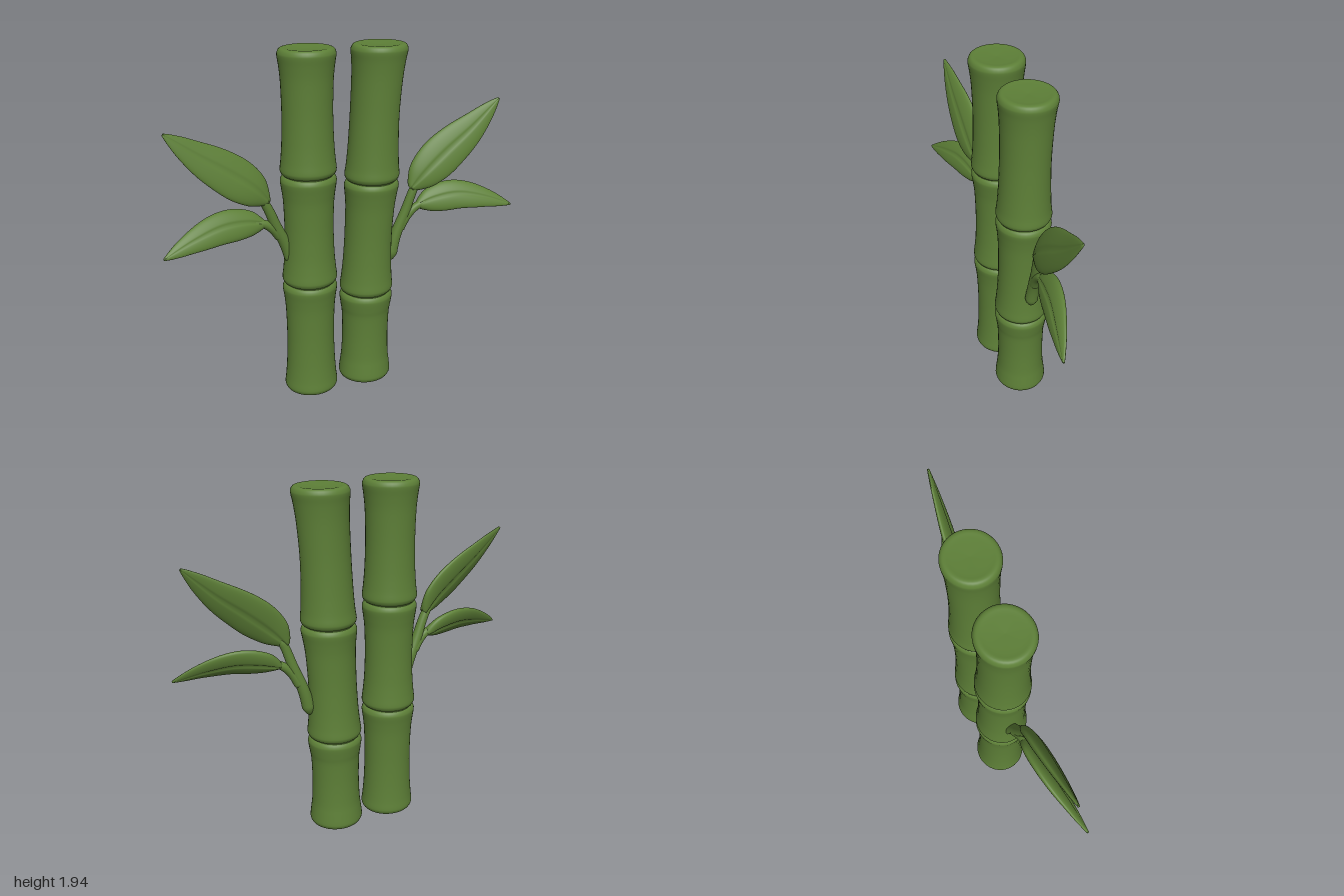
import * as THREE from 'three';

const green = new THREE.MeshStandardMaterial({ color: 0x5d7f37 });
green.name = 'bamboo green';

const V = (x, y, z = 0) => new THREE.Vector3(x, y, z);
const spline = (pairs, n) => new THREE.SplineCurve(pairs.map(([x, y]) => new THREE.Vector2(x, y))).getPoints(n);

// Linear lookup in a list of points: reads the 'to' axis at a value on the 'from' axis
function lookup(points, from, to, value) {
  let i = 1;
  while (i < points.length - 1 && points[i][from] < value) i++;
  const a = points[i - 1], b = points[i];
  return THREE.MathUtils.mapLinear(value, a[from], b[from], a[to], b[to]);
}

function addMesh(parent, name, geometry) {
  const mesh = new THREE.Mesh(geometry, green);
  mesh.name = name;
  parent.add(mesh);
}

// One waisted cane section with rounded rims; leanAt(y) gives the centre x
function caneSection(y0, y1, leanAt) {
  const h = y1 - y0;
  const profile = spline([
    [0, y0 + 0.004], [0.09, y0 + 0.002], [0.122, y0], [0.138, y0 + 0.006], [0.147, y0 + 0.022],
    [0.148, y0 + 0.04], [0.142, y0 + 0.09], [0.135, y0 + h * 0.28], [0.131, y0 + h * 0.5],
    [0.134, y0 + h * 0.74], [0.141, y1 - 0.09], [0.148, y1 - 0.04], [0.147, y1 - 0.022],
    [0.138, y1 - 0.006], [0.122, y1], [0.09, y1 - 0.003], [0, y1 - 0.007],
  ], 64);
  profile.forEach((p) => { p.x = Math.max(p.x, 0); });
  const geometry = new THREE.LatheGeometry(profile, 40);
  geometry.scale(1.015, 1, 0.975);
  const pos = geometry.attributes.position;
  for (let i = 0; i < pos.count; i++) pos.setX(i, pos.getX(i) + leanAt(pos.getY(i)));
  return geometry;
}

function cane(name, joints, leanAt) {
  const group = new THREE.Group();
  group.name = name;
  group.position.z = -0.003;
  for (let i = 0; i < joints.length - 1; i++) {
    addMesh(group, 'caneSection' + (i + 1), caneSection(joints[i], joints[i + 1], leanAt));
    // Recessed core seen in the groove between sections
    if (i > 0) {
      const core = new THREE.CylinderGeometry(0.13, 0.13, 0.04, 40);
      core.translate(leanAt(joints[i]), joints[i], 0);
      addMesh(group, 'joint' + i, core);
    }
  }
  return group;
}

// Loft of oval sections along a spine on the +x side, mirrored when side is -1.
// The upper edge leans back by tilt; crease cuts a midrib into both faces.
function loft(points, side, halfWidth, halfThick, tilt = 0, crease = 0) {
  const curve = new THREE.CatmullRomCurve3(points);
  const steps = 40, around = 48;
  const positions = [], index = [];
  for (let i = 0; i <= steps; i++) {
    const t = i / steps;
    const centre = curve.getPointAt(t);
    const tangent = curve.getTangentAt(t);
    const across = V(-tangent.y, tangent.x).normalize().multiplyScalar(Math.cos(tilt));
    across.z = -Math.sin(tilt);
    const normal = tangent.clone().cross(across).normalize();
    across.crossVectors(normal, tangent).normalize();
    for (let j = 0; j < around; j++) {
      const a = (j / around) * Math.PI * 2;
      const u = Math.cos(a);
      const notch = 1 - crease * Math.exp(-((u / 0.08) ** 2));
      const p = centre.clone()
        .addScaledVector(across, u * halfWidth(t))
        .addScaledVector(normal, Math.sin(a) * halfThick(t) * notch);
      positions.push(p.x * side, p.y, p.z);
    }
  }
  const tri = (a, b, c) => (side > 0 ? index.push(a, b, c) : index.push(a, c, b));
  for (let i = 0; i < steps; i++) {
    for (let j = 0; j < around; j++) {
      const k = (j + 1) % around;
      const a = i * around + j, b = i * around + k;
      tri(a, b, a + around);
      tri(b, b + around, a + around);
    }
  }
  // End caps
  const last = steps * around;
  for (let j = 1; j < around - 1; j++) {
    tri(0, j + 1, j);
    tri(last, last + j, last + j + 1);
  }
  const geometry = new THREE.BufferGeometry();
  geometry.setAttribute('position', new THREE.Float32BufferAttribute(positions, 3));
  geometry.setIndex(index);
  geometry.computeVertexNormals();
  return geometry;
}

// Narrow base, widest at a third of the length, narrowing to the tip
const leafOutline = spline([
  [0, 0.18], [0.05, 0.46], [0.15, 0.81], [0.33, 1], [0.57, 0.87], [0.81, 0.51], [0.94, 0.23], [1, 0.06],
], 200);

function leaf(points, side, width, tilt) {
  const outline = (t) => lookup(leafOutline, 'x', 'y', t);
  return loft(points, side,
    (t) => width * outline(t),
    (t) => 0.005 + 0.014 * (1 - t) + 0.016 * outline(t), tilt, 0.25);
}

function stem(points, side, r0, r1) {
  const radius = (t) => (r0 + (r1 - r0) * t) * Math.sqrt(Math.min(1, 0.03 + t * 10, 0.03 + (1 - t) * 10));
  return loft(points, side, radius, radius);
}

function sprig(name, side, parts) {
  const group = new THREE.Group();
  group.name = name;
  addMesh(group, 'stem', stem(parts.stem, side, 0.036, 0.022));
  addMesh(group, 'twig', stem(parts.twig, side, 0.03, 0.019));
  addMesh(group, 'upperLeaf', leaf(parts.upper, side, 0.113, 0.4));
  addMesh(group, 'lowerLeaf', leaf(parts.lower, side, 0.085, 0.5));
  return group;
}

export function createModel() {
  const model = new THREE.Group();
  model.name = 'bamboo';

  // Straight cane on the right, leaning cane on the left
  model.add(cane('straightCane', [0, 0.665, 1.28, 1.94], () => -0.188));
  const lean = spline([
    [0.148, 0], [0.15, 0.3], [0.153, 0.55], [0.164, 0.9], [0.18, 1.2], [0.193, 1.58], [0.217, 1.935],
  ], 120);
  model.add(cane('leaningCane', [0, 0.548, 1.205, 1.935], (y) => lookup(lean, 'y', 'x', y)));

  // Leafy sprigs
  model.add(sprig('leftSprig', 1, {
    stem: [V(0.298, 0.7), V(0.33, 0.84), V(0.385, 0.99, 0.01), V(0.425, 1.11, 0.02), V(0.46, 1.18, 0.025)],
    twig: [V(0.345, 0.87), V(0.395, 0.96, 0.01), V(0.45, 1.01, 0.015), V(0.53, 1.038, 0.022)],
    upper: [V(0.41, 1.125, 0.02), V(0.49, 1.21, 0.03), V(0.61, 1.315, 0.035), V(0.77, 1.44, 0.04), V(0.935, 1.59, 0.042)],
    lower: [V(0.455, 1.015, 0.01), V(0.56, 1.045, 0.025), V(0.69, 1.06, 0.05), V(0.84, 1.035, 0.09), V(1, 0.985, 0.135)],
  }));
  model.add(sprig('rightSprig', -1, {
    stem: [V(0.285, 0.78), V(0.32, 0.89), V(0.375, 1.01, 0.01), V(0.425, 1.13, 0.02), V(0.475, 1.22, 0.025)],
    twig: [V(0.345, 0.94), V(0.395, 1.005, 0.01), V(0.44, 1.04, 0.015), V(0.53, 1.062, 0.022)],
    upper: [V(0.425, 1.165, 0.02), V(0.505, 1.25, 0.03), V(0.62, 1.34, 0.035), V(0.78, 1.455, 0.04), V(0.94, 1.585, 0.042)],
    lower: [V(0.44, 1.04, 0.01), V(0.55, 1.065, 0.025), V(0.68, 1.07, 0.05), V(0.83, 1.04, 0.09), V(1, 0.985, 0.135)],
  }));
  return model;
}
